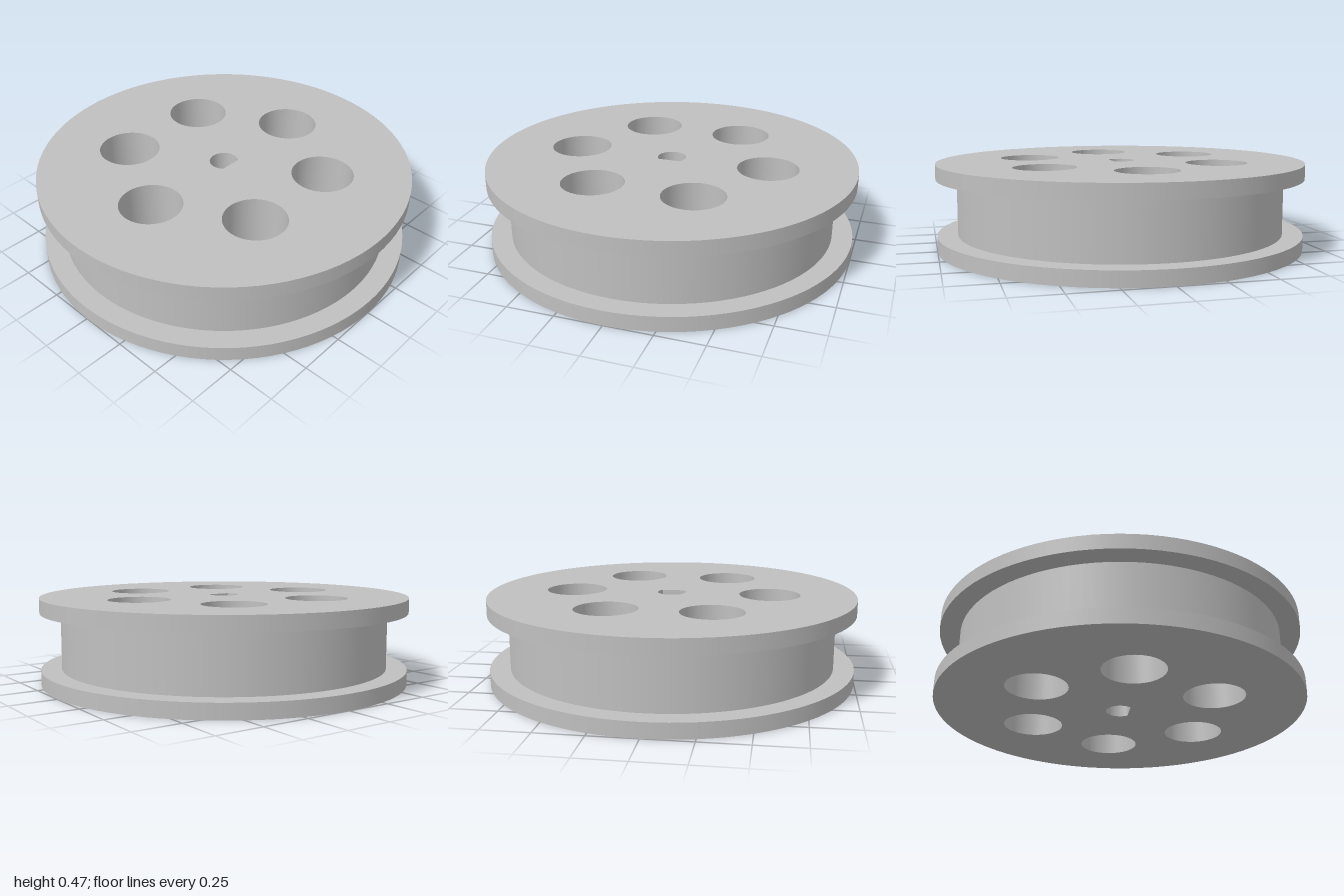
import * as THREE from 'three';
import { mergeGeometries } from 'three/addons/utils/BufferGeometryUtils.js';

const SEG = 96;
const H = 0.465, FLANGE = 0.08;          // total height, flange thickness
const R = 1, DRUM_R = 0.89;              // flange and drum radii
const HOLE_R = 0.164, HOLE_RING = 0.535; // six round holes
const BORE_R = 0.077, BORE_FLAT = 0.05;  // D-shaped shaft bore

// Smooth surface of revolution between two profile points [radius, y]
const band = (a, b, start = 0, sweep = Math.PI * 2) =>
  new THREE.LatheGeometry([new THREE.Vector2(...a), new THREE.Vector2(...b)], SEG, start, sweep);

export function createModel() {
  const group = new THREE.Group();
  const grey = new THREE.MeshStandardMaterial({ color: 0xc0c0c0 });
  grey.name = 'grey';
  const add = (name, geometry) => {
    const mesh = new THREE.Mesh(geometry, grey);
    mesh.name = name;
    group.add(mesh);
    return mesh;
  };

  // Flange rims, groove shoulders and drum
  const profile = [[R, 0], [R, FLANGE], [DRUM_R, FLANGE], [DRUM_R, H - FLANGE], [R, H - FLANGE], [R, H]];
  const bands = profile.slice(1).map((p, i) => band(profile[i], p));
  add('groovedRim', mergeGeometries(bands));

  // Disc outline with its holes
  const disc = new THREE.Shape().absarc(0, 0, R, 0, Math.PI * 2);
  const holeCentres = [];
  for (let i = 0; i < 6; i++) {
    const a = Math.PI / 6 + i * Math.PI / 3;
    const x = HOLE_RING * Math.cos(a), y = HOLE_RING * Math.sin(a);
    holeCentres.push([x, y]);
    disc.holes.push(new THREE.Path().absarc(x, y, HOLE_R, 0, Math.PI * 2));
  }
  const half = Math.acos(BORE_FLAT / BORE_R);
  disc.holes.push(new THREE.Path().absarc(0, 0, BORE_R, half, Math.PI * 2 - half));

  // Flat end faces
  const face = () => new THREE.ShapeGeometry(disc, SEG / 2);
  add('topFace', face().rotateX(-Math.PI / 2).translate(0, H, 0));
  add('bottomFace', face().rotateX(Math.PI / 2));

  // Inward-facing walls of the round holes
  holeCentres.forEach(([x, z], i) => {
    add('holeWall' + (i + 1), band([HOLE_R, H], [HOLE_R, 0])).position.set(x, 0, z);
  });

  // Shaft bore: round wall and flat on the +x side
  add('boreWall', band([BORE_R, H], [BORE_R, 0], Math.PI / 2 + half, Math.PI * 2 - 2 * half));
  add('boreFlat', new THREE.PlaneGeometry(2 * BORE_R * Math.sin(half), H)
    .rotateY(-Math.PI / 2).translate(BORE_FLAT, H / 2, 0));

  return group;
}
